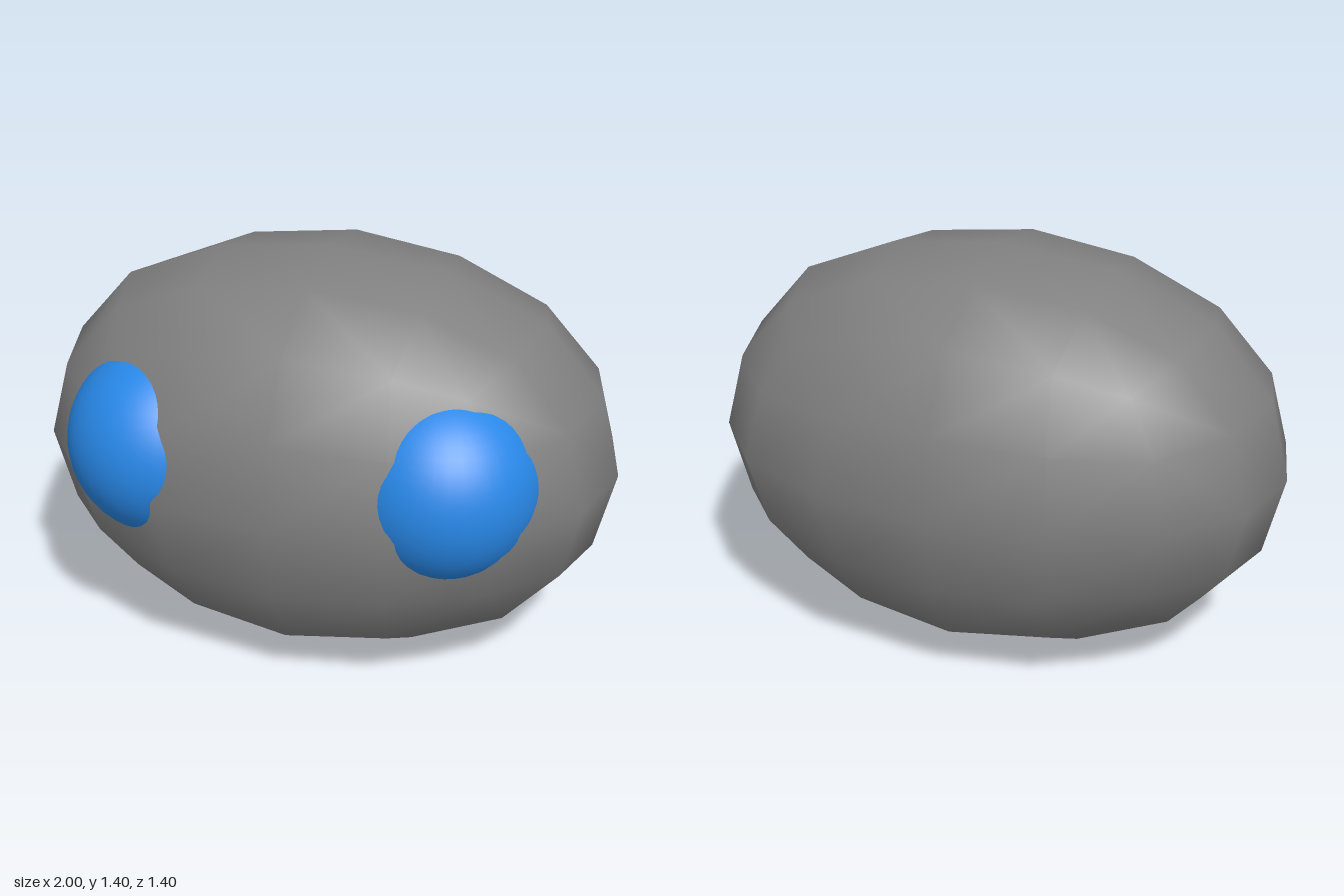
import * as THREE from 'three';
import { mergeVertices } from 'three/addons/utils/BufferGeometryUtils.js';

// One quarter of a subdivided cube's face, keyed by grid steps from the centre: [u, v, outward]
const QUARTER = {
  '00': [0, 0, 1], '10': [0.399, 0, 0.933], '11': [0.371, 0.371, 0.87],
  '20': [0.733, 0, 0.733], '21': [0.682, 0.344, 0.682], '22': [0.58, 0.58, 0.58],
};

function facePoint(i, j) {
  const a = Math.abs(i), b = Math.abs(j);
  const [p, q, w] = QUARTER[`${Math.max(a, b)}${Math.min(a, b)}`];
  const [u, v] = a >= b ? [p, q] : [q, p];
  return [Math.sign(i) * u, Math.sign(j) * v, w];
}

// Rounded cube: six 4 x 4 faces welded into one smooth surface
function roundedCube() {
  const positions = [];
  for (let axis = 0; axis < 3; axis++) {
    for (const side of [1, -1]) {
      const point = (i, j) => {
        const [u, v, w] = facePoint(i, j);
        const p = [0, 0, 0];
        p[axis] = w * side;
        p[(axis + 1) % 3] = u * side;
        p[(axis + 2) % 3] = v;
        return p;
      };
      for (let i = -2; i < 2; i++) {
        for (let j = -2; j < 2; j++) {
          const a = point(i, j), b = point(i + 1, j), c = point(i + 1, j + 1), d = point(i, j + 1);
          positions.push(...a, ...b, ...c, ...a, ...c, ...d);
        }
      }
    }
  }
  const geometry = new THREE.BufferGeometry();
  geometry.setAttribute('position', new THREE.Float32BufferAttribute(positions, 3));
  return mergeVertices(geometry, 1e-3);
}

export function createModel() {
  const model = new THREE.Group();
  const grey = new THREE.MeshStandardMaterial({ name: 'body grey', color: 0x808080 });
  const blue = new THREE.MeshStandardMaterial({ name: 'eye blue', color: 0x2888e8 });

  // Egg-shaped body, stretched sideways
  const shell = roundedCube().scale(1, 0.7, 0.7);
  shell.computeVertexNormals();
  const body = new THREE.Mesh(shell, grey);
  body.name = 'body';
  body.position.y = 0.7;
  model.add(body);

  // Eyes: balls sunk into the front of the body
  const ball = new THREE.SphereGeometry(0.33, 40, 28);
  for (const [name, side] of [['leftEye', 1], ['rightEye', -1]]) {
    const eye = new THREE.Mesh(ball, blue);
    eye.name = name;
    eye.position.set(side * 0.48, 0.78, 0.337);
    model.add(eye);
  }
  return model;
}
